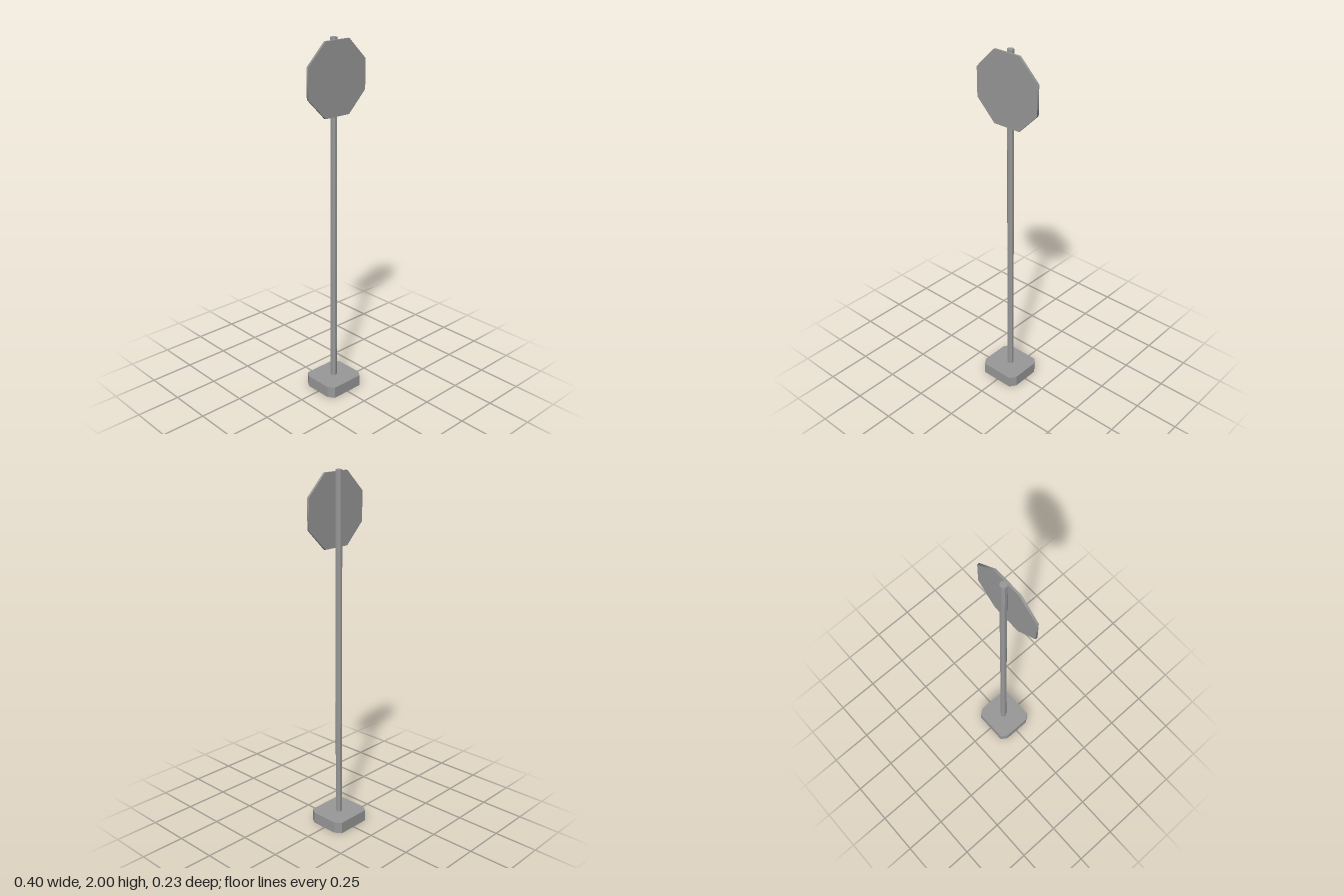
import * as THREE from 'three';

export function createModel() {
  const model = new THREE.Group();
  const material = new THREE.MeshStandardMaterial({ color: 0x999999 });
  const add = (name, geometry, mat, x, y, z) => {
    const mesh = new THREE.Mesh(geometry, mat);
    mesh.name = name;
    mesh.position.set(x, y, z);
    model.add(mesh);
  };

  // Foot: chamfered plate with thin walls, hollow underneath
  const height = 0.066;
  const outline = [
    [0.122, 0.079], [0.098, 0.115], [-0.098, 0.115], [-0.122, 0.079],
    [-0.122, -0.079], [-0.098, -0.115], [0.098, -0.115], [0.122, -0.079],
  ];
  const shell = [];
  outline.forEach(([x0, z0], i) => {
    const [x1, z1] = outline[(i + 1) % outline.length];
    // wall quad, then one wedge of the lid
    shell.push(x0, 0, z0, x1, height, z1, x0, height, z0);
    shell.push(x0, 0, z0, x1, 0, z1, x1, height, z1);
    shell.push(0, height, 0, x0, height, z0, x1, height, z1);
  });
  // the outline runs clockwise from above, so flip each triangle to face outward
  for (let i = 0; i < shell.length; i += 9) {
    const second = shell.slice(i + 3, i + 6);
    shell.splice(i + 3, 6, ...shell.slice(i + 6, i + 9), ...second);
  }
  const footGeometry = new THREE.BufferGeometry();
  footGeometry.setAttribute('position', new THREE.Float32BufferAttribute(shell, 3));
  footGeometry.computeVertexNormals();
  const footMaterial = material.clone();
  footMaterial.side = THREE.DoubleSide;
  add('foot', footGeometry, footMaterial, -0.002, 0, 0);

  // Pole: faceted, passes just through the foot's lid
  const poleBottom = 0.052;
  const poleLength = 2 - poleBottom;
  const poleGeometry = new THREE.CylinderGeometry(0.0188, 0.0188, poleLength, 8);
  poleGeometry.rotateY(Math.PI / 8);
  const poleMaterial = material.clone();
  poleMaterial.flatShading = true;
  add('pole', poleGeometry, poleMaterial, 0.001, poleBottom + poleLength / 2, -0.002);

  // Octagonal sign plate on the front of the pole
  const plateGeometry = new THREE.CylinderGeometry(0.2105, 0.2105, 0.012, 8);
  plateGeometry.rotateY(Math.PI / 8);
  plateGeometry.rotateX(Math.PI / 2);
  plateGeometry.scale(1.019, 1, 1);
  add('signPlate', plateGeometry, material, 0, 1.794, 0.022);

  return model;
}
